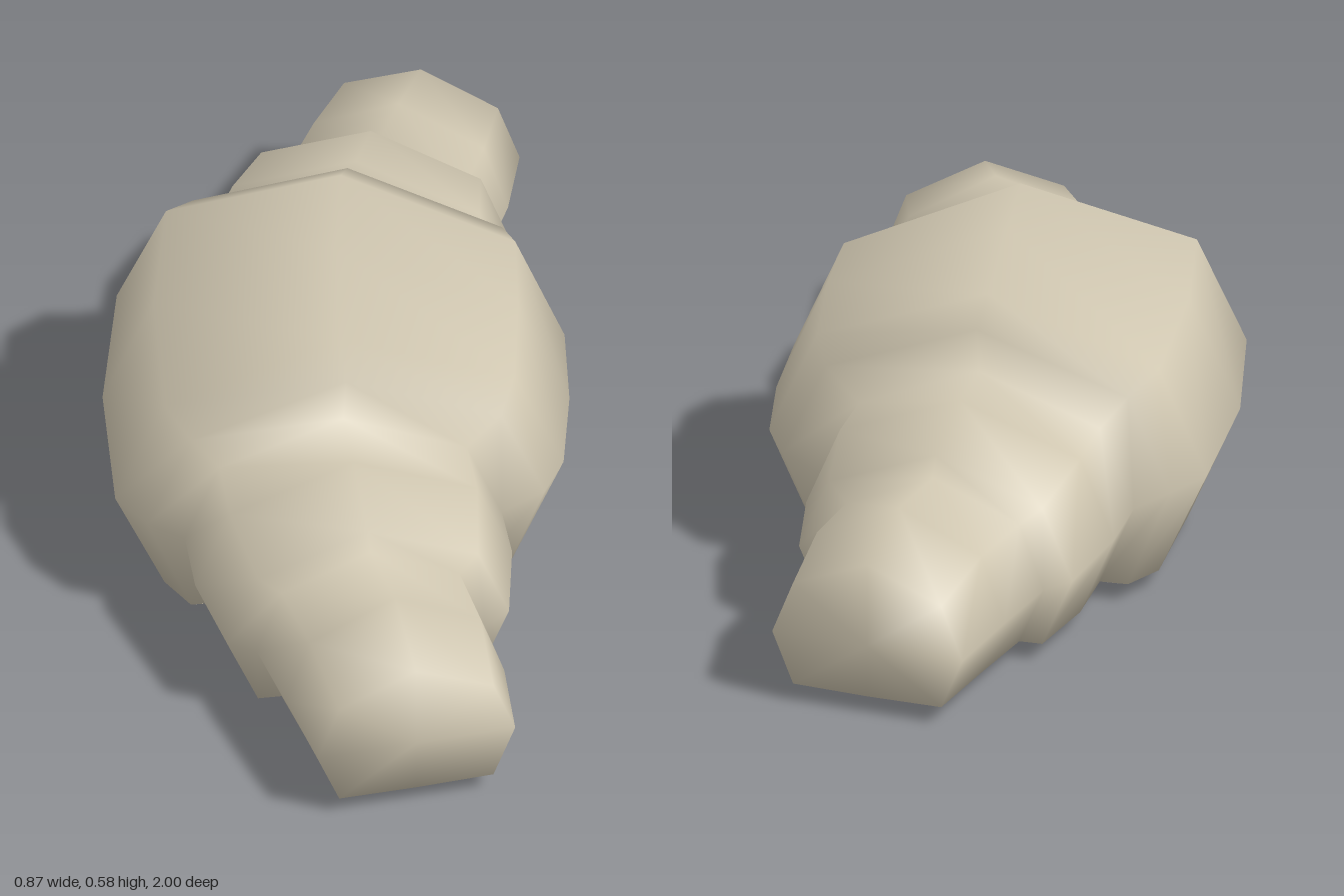
import * as THREE from 'three';

// Half of the roll, middle to tip. Each tilted ring:
// outer edge x, z, inner edge x, z, height of the sides, top, lower corners, bottom
const HALF = [
  [-0.435, 0.0, 0.435, 0.0, 0.237, 0.58, 0.018, 0.0],
  [-0.41, 0.32, 0.425, 0.2, 0.237, 0.56, 0.035, 0.03],
  [-0.35, 0.39, 0.39, 0.285, 0.23, 0.52, 0.035, 0.033],
  [-0.28, 0.38, 0.31, 0.295, 0.19, 0.435, 0.035, 0.033],
  [-0.26, 0.53, 0.33, 0.42, 0.19, 0.435, 0.035, 0.033],
  [-0.2, 0.685, 0.325, 0.58, 0.17, 0.39, 0.035, 0.033],
  [-0.145, 0.675, 0.28, 0.595, 0.145, 0.345, 0.035, 0.033],
  [-0.09, 0.83, 0.317, 0.73, 0.142, 0.345, 0.035, 0.033],
  [-0.03, 1.0, 0.338, 0.9, 0.135, 0.3, 0.035, 0.033],
];
const SIDES = 8;

// Eight-sided section of one ring, counterclockwise seen from +z
function ringPoints([xo, zo, xi, zi, mid, top, low, bottom], sign) {
  const shoulder = mid + 0.635 * (top - mid);
  const section = [
    [1, mid], [0.78, shoulder], [0, top], [-0.78, shoulder],
    [-1, mid], [-0.78, low], [0, bottom], [0.78, low],
  ];
  return section.map(([u, y]) => [
    (xo + xi) / 2 + (u * (xi - xo)) / 2,
    y,
    sign * ((zo + zi) / 2 + (u * (zi - zo)) / 2),
  ]);
}

function loft(rings) {
  const positions = rings.flat(2);
  const index = [];
  for (let i = 0; i < rings.length - 1; i++) {
    for (let j = 0; j < SIDES; j++) {
      const k = (j + 1) % SIDES;
      const a = i * SIDES + j, b = i * SIDES + k;
      const c = a + SIDES, d = b + SIDES;
      index.push(a, b, c, b, d, c);
    }
  }
  // Tip caps share their rim so the ends shade softly
  for (const [r, front] of [[0, false], [rings.length - 1, true]]) {
    const centre = positions.length / 3;
    for (let n = 0; n < 3; n++) {
      positions.push((rings[r][0][n] + rings[r][4][n]) / 2);
    }
    for (let j = 0; j < SIDES; j++) {
      const a = r * SIDES + j, b = r * SIDES + ((j + 1) % SIDES);
      if (front) index.push(centre, a, b);
      else index.push(centre, b, a);
    }
  }
  const geometry = new THREE.BufferGeometry();
  geometry.setAttribute('position', new THREE.Float32BufferAttribute(positions, 3));
  geometry.setIndex(index);
  geometry.computeVertexNormals();
  return geometry;
}

export function createModel() {
  const group = new THREE.Group();
  group.name = 'croissant';
  const dough = new THREE.MeshStandardMaterial({ color: 0xcfc6b0 });
  dough.name = 'pale dough';

  // Mirrored rings run from the back tip to the front tip
  const back = HALF.slice(1).reverse().map((r) => ringPoints(r, -1));
  const front = HALF.map((r) => ringPoints(r, 1));
  const roll = new THREE.Mesh(loft([...back, ...front]), dough);
  roll.name = 'rolledDough';
  group.add(roll);
  return group;
}
